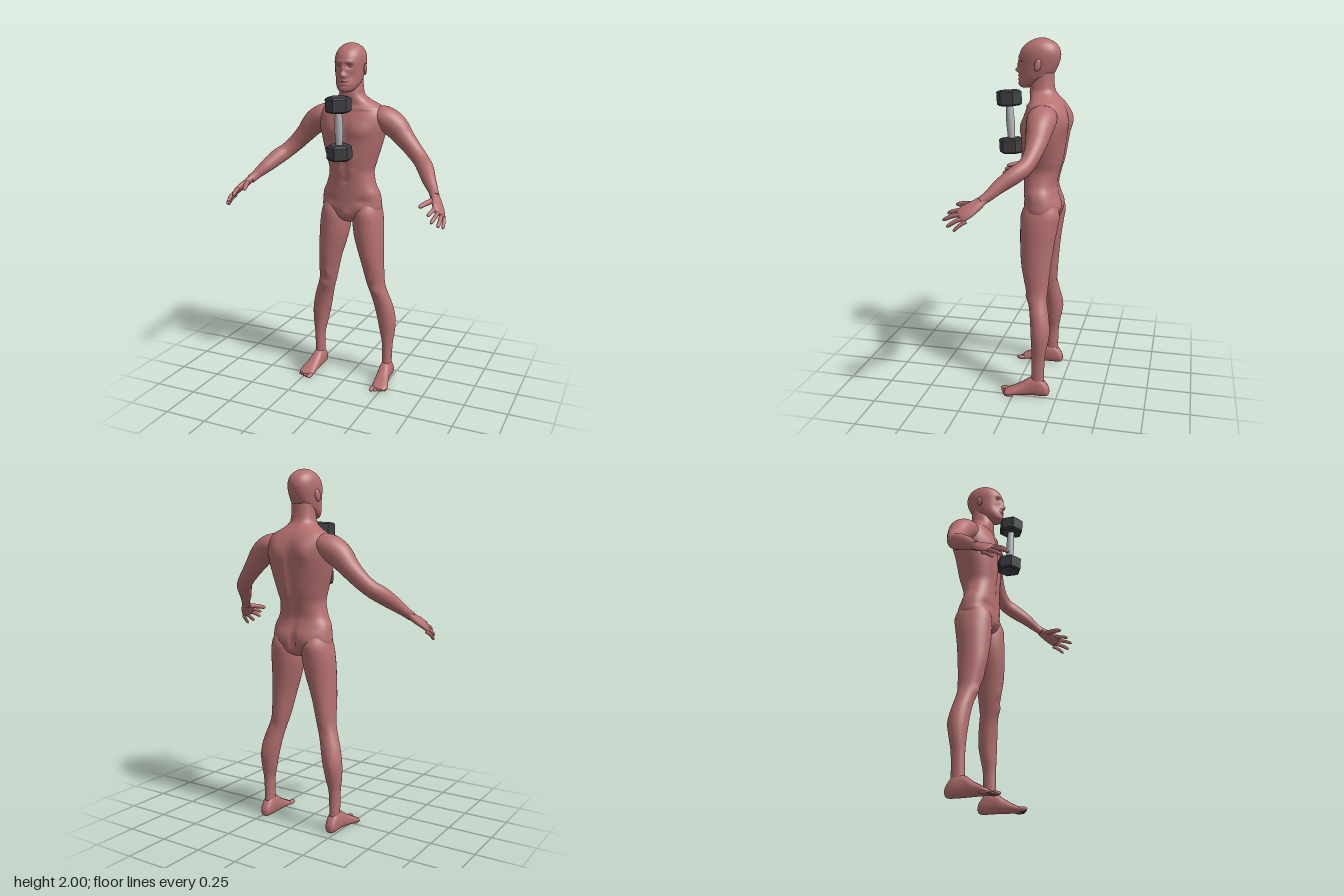
import * as THREE from 'three';

const skin = new THREE.MeshStandardMaterial({ color: 0xb57170 });
skin.name = 'skin';
const iron = new THREE.MeshStandardMaterial({ color: 0x404145 });
iron.name = 'dark iron';
const steel = new THREE.MeshStandardMaterial({ color: 0xb4b6b8 });
steel.name = 'steel';

const V = (x, y, z) => new THREE.Vector3(x, y, z);

// Catmull-Rom interpolation of every column of a table of sections
function smoothRows(rows, steps) {
  const out = [], n = rows.length - 1;
  for (let s = 0; s <= steps; s++) {
    const f = (s / steps) * n, i = Math.min(Math.floor(f), n - 1), t = f - i;
    const p = rows[Math.max(i - 1, 0)], q = rows[i], r = rows[i + 1], w = rows[Math.min(i + 2, n)];
    out.push(q.map((b, k) => 0.5 * (2 * b + (r[k] - p[k]) * t
      + (2 * p[k] - 5 * b + 4 * r[k] - w[k]) * t * t
      + (3 * b - p[k] - 3 * r[k] + w[k]) * t * t * t)));
  }
  return out;
}

// Closed skin over rings { c: centre, a, b: half axes }, with a x b along the path
function loft(rings, segs, power = 1) {
  const pos = [], idx = [], n = rings.length;
  const bend = (v) => Math.sign(v) * Math.pow(Math.abs(v), power);
  for (const { c, a, b } of rings) {
    for (let j = 0; j < segs; j++) {
      const t = (j / segs) * Math.PI * 2;
      const p = c.clone().addScaledVector(a, bend(Math.cos(t))).addScaledVector(b, bend(Math.sin(t)));
      pos.push(p.x, p.y, p.z);
    }
  }
  pos.push(...rings[0].c.toArray(), ...rings[n - 1].c.toArray());
  for (let j = 0; j < segs; j++) {
    const k = (j + 1) % segs, top = (n - 1) * segs;
    for (let i = 0; i < n - 1; i++) {
      const o = i * segs, u = o + segs;
      idx.push(o + j, o + k, u + k, o + j, u + k, u + j);
    }
    idx.push(n * segs, k, j, n * segs + 1, top + j, top + k);
  }
  const g = new THREE.BufferGeometry();
  g.setAttribute('position', new THREE.Float32BufferAttribute(pos, 3));
  g.setIndex(idx);
  g.computeVertexNormals();
  return g;
}

// Level sections, rising: [y, centre x, half width, back z, front z]
const column = (rows, steps, segs, power) => loft(smoothRows(rows, steps).map(([y, x, w, z0, z1]) => (
  { c: V(x, y, (z0 + z1) / 2), a: V(w, 0, 0), b: V(0, 0, (z0 - z1) / 2) })), segs, power);

// Sections along a path: [x, y, z, radius towards side, other radius]
function limb(rows, side, steps, segs) {
  const r = smoothRows(rows, steps), at = (i) => V(...r[Math.max(0, Math.min(steps, i))].slice(0, 3));
  return loft(r.map((row, i) => {
    const t = at(i + 1).sub(at(i - 1)).normalize();
    const a = side.clone().addScaledVector(t, -side.dot(t)).normalize();
    const b = t.clone().cross(a);
    return { c: at(i), a: a.multiplyScalar(row[3]), b: b.multiplyScalar(row[4]) };
  }), segs);
}

// Soft bumps pushed along z: [x, y, z, spread x, spread y, spread z, amount]
function sculpt(g, bumps) {
  const p = g.attributes.position;
  const all = bumps.flatMap((b) => (b[0] ? [b, [-b[0], ...b.slice(1)]] : [b]));
  for (let i = 0; i < p.count; i++) {
    const x = p.getX(i), y = p.getY(i), z = p.getZ(i);
    let d = 0;
    for (const [bx, by, bz, sx, sy, sz, k] of all) {
      d += k * Math.exp(-(((x - bx) / sx) ** 2 + ((y - by) / sy) ** 2 + ((z - bz) / sz) ** 2));
    }
    p.setZ(i, z + d);
  }
  g.computeVertexNormals();
  return g;
}

function mirrored(g) {
  const m = g.clone().scale(-1, 1, 1), ix = m.index;
  for (let i = 0; i < ix.count; i += 3) {
    const t = ix.getX(i);
    ix.setX(i, ix.getX(i + 1));
    ix.setX(i + 1, t);
  }
  m.computeVertexNormals();
  return m;
}

const ball = (x, y, z, rx, ry, rz) => new THREE.SphereGeometry(1, 16, 12).scale(rx, ry, rz).translate(x, y, z);

export function createModel() {
  const model = new THREE.Group();
  const add = (name, g, mat = skin, parent = model) => {
    const m = new THREE.Mesh(g, mat);
    m.name = name;
    parent.add(m);
    return m;
  };
  const pair = (name, g) => {
    add('left' + name, g);
    add('right' + name, mirrored(g));
  };

  // Torso and neck
  add('torso', sculpt(column([
    [0.985, 0, 0.06, -0.17, -0.07], [1.01, 0, 0.14, -0.21, -0.035], [1.06, 0, 0.178, -0.225, -0.018],
    [1.11, 0, 0.178, -0.226, -0.016], [1.16, 0, 0.17, -0.212, -0.016], [1.21, 0, 0.147, -0.205, -0.015],
    [1.28, 0, 0.132, -0.22, -0.012], [1.34, 0, 0.145, -0.238, -0.006], [1.41, 0, 0.166, -0.25, -0.002],
    [1.48, 0, 0.185, -0.26, -0.004], [1.55, 0, 0.2, -0.264, -0.008], [1.61, 0, 0.2, -0.254, -0.025],
    [1.655, 0, 0.165, -0.232, -0.045], [1.685, 0, 0.11, -0.208, -0.045], [1.715, 0, 0.075, -0.186, -0.042],
    [1.75, 0, 0.066, -0.177, -0.045], [1.82, 0, 0.06, -0.175, -0.06],
  ], 90, 64, 0.9), [
    [0.085, 1.52, -0.02, 0.06, 0.045, 0.09, 0.012], [0, 1.5, -0.01, 0.014, 0.1, 0.06, -0.01], // chest
    [0.09, 1.645, -0.05, 0.07, 0.009, 0.05, 0.01], // collarbones
    [0.09, 1.565, -0.26, 0.04, 0.06, 0.08, -0.018], [0, 1.42, -0.24, 0.02, 0.19, 0.08, 0.018], // back
    [0.08, 1.08, -0.22, 0.055, 0.05, 0.07, -0.01], [0, 1.07, -0.22, 0.012, 0.06, 0.08, 0.025], // seat
    [0, 1.235, -0.01, 0.01, 0.012, 0.05, -0.01], [0, 1.34, -0.01, 0.01, 0.09, 0.05, -0.006],
    [0.035, 1.36, -0.01, 0.022, 0.025, 0.05, 0.005], [0.035, 1.29, -0.01, 0.022, 0.025, 0.05, 0.005],
    [0.1, 1.12, -0.02, 0.04, 0.02, 0.06, -0.008], [0, 1.04, -0.03, 0.025, 0.025, 0.06, 0.012],
  ]));

  // Head with a sculpted face
  add('head', sculpt(column([
    [1.735, 0, 0.02, -0.04, 0.002], [1.745, 0, 0.042, -0.07, 0.015], [1.77, 0, 0.06, -0.12, 0.019],
    [1.8, 0, 0.07, -0.165, 0.018], [1.85, 0, 0.078, -0.195, 0.016], [1.9, 0, 0.083, -0.21, 0.018],
    [1.94, 0, 0.079, -0.205, 0.004], [1.97, 0, 0.064, -0.183, -0.024], [1.99, 0, 0.04, -0.15, -0.06],
    [1.998, 0, 0.018, -0.126, -0.088], [2, 0, 0.002, -0.109, -0.105],
  ], 90, 96, 0.96), [
    [0, 1.828, 0.02, 0.012, 0.014, 0.06, 0.022], [0, 1.86, 0.02, 0.009, 0.026, 0.06, 0.012],
    [0.014, 1.822, 0.015, 0.008, 0.009, 0.06, 0.008],
    [0.032, 1.877, 0.01, 0.017, 0.012, 0.06, -0.013], [0.03, 1.899, 0.01, 0.024, 0.009, 0.06, 0.005],
    [0, 1.797, 0.02, 0.02, 0.006, 0.06, 0.008], [0, 1.78, 0.02, 0.018, 0.006, 0.06, 0.007],
    [0, 1.789, 0.02, 0.024, 0.003, 0.06, -0.006], [0, 1.755, 0.02, 0.02, 0.012, 0.06, 0.006],
    [0.045, 1.82, 0, 0.016, 0.024, 0.06, -0.006],
  ]));
  pair('Eye', ball(0.032, 1.877, -0.01, 0.014, 0.011, 0.013));
  pair('Ear', ball(0, 0, 0, 0.009, 0.033, 0.019).rotateX(-0.2).rotateY(0.3).translate(0.084, 1.858, -0.1));

  // Arms
  pair('Arm', limb([
    [0.1, 1.6, -0.15, 0.045, 0.06], [0.18, 1.59, -0.147, 0.067, 0.08], [0.25, 1.545, -0.147, 0.07, 0.072],
    [0.31, 1.48, -0.143, 0.056, 0.058], [0.37, 1.417, -0.13, 0.048, 0.045], [0.42, 1.37, -0.105, 0.045, 0.042],
    [0.46, 1.335, -0.06, 0.046, 0.042], [0.5, 1.29, 0, 0.039, 0.035], [0.54, 1.245, 0.05, 0.028, 0.026],
    [0.562, 1.218, 0.085, 0.026, 0.022],
  ], V(0.65, 0.75, 0), 54, 28));

  // Hands
  const across = V(0.045, -0.045, -0.05);
  pair('Palm', limb([
    [0.55, 1.235, 0.065, 0.022, 0.02], [0.575, 1.205, 0.1, 0.033, 0.02], [0.598, 1.178, 0.14, 0.042, 0.018],
    [0.612, 1.157, 0.17, 0.041, 0.015], [0.617, 1.148, 0.183, 0.03, 0.008],
  ], across, 20, 24));
  const fingers = {
    Thumb: [[0.572, 1.205, 0.105], [0.545, 1.205, 0.165], [0.521, 1.186, 0.225], 0.014],
    Index: [[0.592, 1.178, 0.175], [0.59, 1.172, 0.22], [0.576, 1.152, 0.253], 0.011],
    Middle: [[0.61, 1.16, 0.17], [0.612, 1.15, 0.23], [0.6, 1.12, 0.273], 0.011],
    Ring: [[0.622, 1.145, 0.158], [0.633, 1.128, 0.205], [0.628, 1.095, 0.244], 0.011],
    Little: [[0.63, 1.13, 0.142], [0.644, 1.112, 0.178], [0.645, 1.08, 0.204], 0.0095],
  };
  for (const [name, [p, q, e, r]] of Object.entries(fingers)) {
    const path = new THREE.QuadraticBezierCurve3(V(...p), V(...q), V(...e));
    const rows = [[0, 1.1], [0.3, 1], [0.6, 0.95], [0.85, 0.85], [0.96, 0.55], [1, 0.1]]
      .map(([t, k]) => [...path.getPoint(t).toArray(), r * k, r * k]);
    pair(name === 'Thumb' ? name : name + 'Finger', limb(rows, across, 14, 12));
  }

  // Legs
  pair('Leg', sculpt(column([
    [0.05, 0.225, 0.028, -0.182, -0.1], [0.12, 0.225, 0.028, -0.177, -0.103], [0.23, 0.225, 0.032, -0.18, -0.104],
    [0.3, 0.222, 0.045, -0.191, -0.102], [0.37, 0.216, 0.054, -0.201, -0.097], [0.43, 0.206, 0.057, -0.2, -0.092],
    [0.49, 0.192, 0.056, -0.191, -0.085], [0.545, 0.175, 0.053, -0.182, -0.074], [0.6, 0.158, 0.052, -0.18, -0.06],
    [0.66, 0.148, 0.057, -0.183, -0.046], [0.76, 0.134, 0.067, -0.192, -0.024], [0.88, 0.114, 0.084, -0.207, -0.014],
    [0.97, 0.104, 0.09, -0.222, -0.012], [1.05, 0.1, 0.082, -0.231, -0.016], [1.12, 0.1, 0.06, -0.2, -0.05],
  ], 70, 32), [
    [0.165, 0.575, -0.06, 0.025, 0.028, 0.04, 0.01], [0.17, 0.57, -0.18, 0.02, 0.03, 0.03, 0.006],
    [0.13, 0.66, -0.05, 0.02, 0.035, 0.04, 0.008], [0.23, 0.4, -0.2, 0.02, 0.06, 0.03, -0.006],
  ]));

  // Feet: [z, centre x, half width, sole y, top y]
  pair('Foot', loft(smoothRows([
    [-0.207, 0.225, 0.01, 0.02, 0.045], [-0.195, 0.225, 0.027, 0.004, 0.07], [-0.155, 0.225, 0.034, 0, 0.115],
    [-0.1, 0.225, 0.035, 0, 0.11], [-0.05, 0.231, 0.04, 0, 0.076], [0, 0.239, 0.046, 0, 0.048],
    [0.03, 0.241, 0.046, 0, 0.033], [0.05, 0.239, 0.036, 0.005, 0.022],
  ], 28).map(([z, x, w, y0, y1]) => (
    { c: V(x, (y0 + y1) / 2, z), a: V(w, 0, 0), b: V(0, (y1 - y0) / 2, 0) })), 28, 0.85));
  for (let i = 0; i < 5; i++) {
    const r = i ? 0.0098 - i * 0.0005 : 0.0135;
    pair('Toe' + (i + 1), ball(0.206 + i * 0.0175 + (i ? 0.003 : 0), r, 0.052 - i * 0.008, r, r, 0.033 - i * 0.001));
  }

  // Dumbbell held upright in front of the chest
  const dumbbell = new THREE.Group();
  dumbbell.name = 'dumbbell';
  dumbbell.position.set(0, 1.543, 0.07);
  dumbbell.rotation.x = 0.055;
  model.add(dumbbell);
  const flat = (r0, r1, h) => new THREE.CylinderGeometry(r0, r1, h, 6).toNonIndexed();
  for (const s of [1, -1]) {
    const name = s > 0 ? 'upper' : 'lower';
    const parts = [['Weight', flat(0.072, 0.072, 0.066), 0], ['OuterBevel', flat(0.06, 0.072, 0.009), 0.0375],
      ['InnerBevel', flat(0.072, 0.06, 0.009), -0.0375]];
    for (const [part, g, y] of parts) {
      g.computeVertexNormals();
      const m = add(name + part, g, iron, dumbbell);
      m.position.y = s * (0.132 + y);
      if (s < 0) m.rotation.z = Math.PI;
    }
  }
  add('grip', new THREE.LatheGeometry([[0.018, -0.1], [0.021, -0.06], [0.024, 0], [0.021, 0.06], [0.018, 0.1]]
    .map(([r, y]) => new THREE.Vector2(r, y)), 24), steel, dumbbell);

  return model;
}
